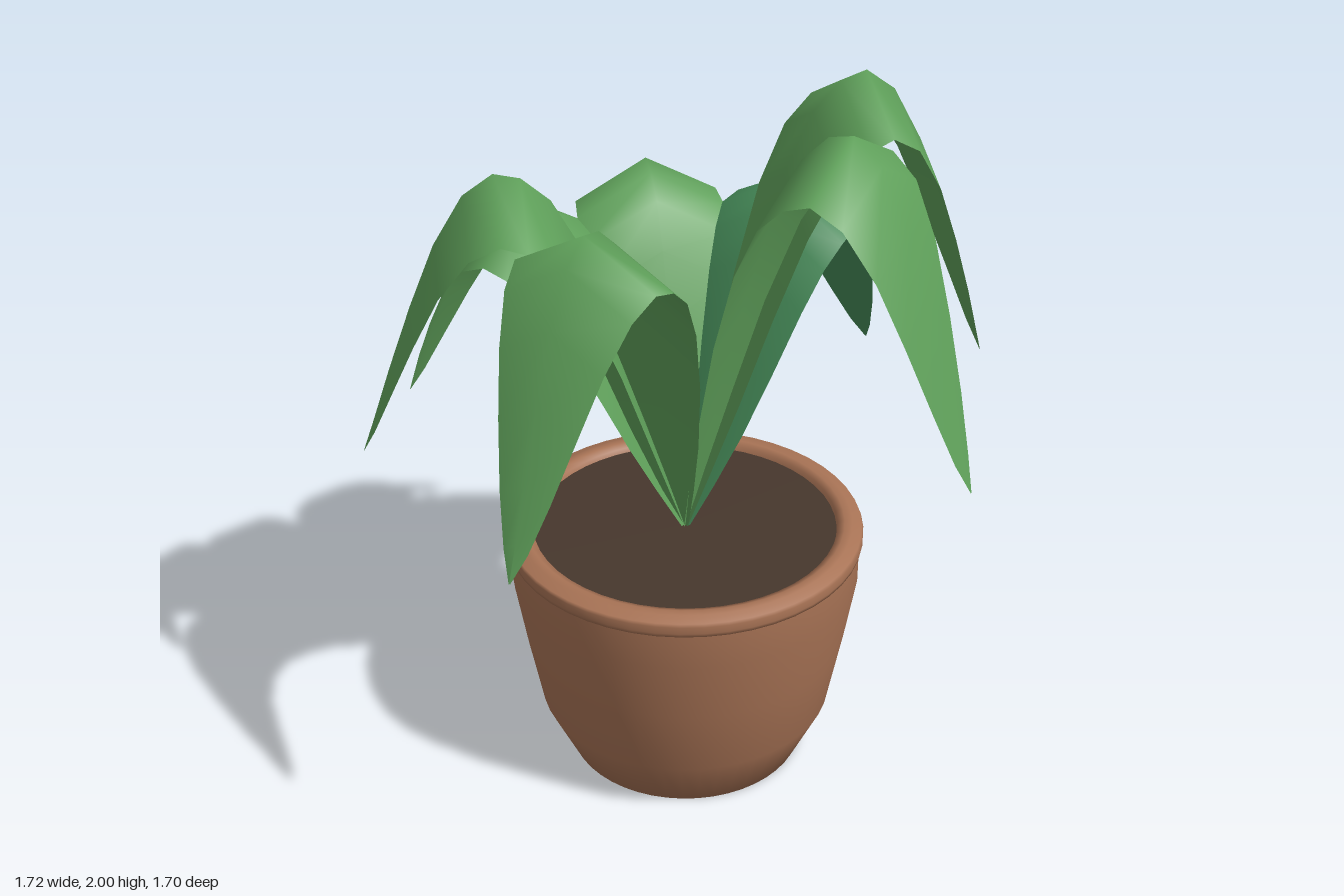
import * as THREE from 'three';

const material = (color, side = THREE.FrontSide) =>
  new THREE.MeshStandardMaterial({ color, side, roughness: 0.8 });

const BASE = 0.7;

// Leaf rows: distance from centre, height fraction, half width
const RISE = [
  [0, 0, 0.008], [0.055, 0.18, 0.058], [0.115, 0.37, 0.106], [0.19, 0.6, 0.153],
  [0.27, 0.8, 0.186], [0.345, 0.925, 0.203], [0.42, 0.985, 0.208], [0.49, 1, 0.2],
];
const FALL = [
  [0.57, 0.93, 0.18], [0.65, 0.76, 0.148], [0.72, 0.54, 0.112],
  [0.785, 0.31, 0.073], [0.835, 0.12, 0.035], [0.868, 0, 0.002],
];

// Arching leaf with a raised midrib and lowered edges
function leafGeometry(peak, tip) {
  const rows = [
    ...RISE.map(([r, f, w]) => [r, BASE + f * (peak - BASE), w]),
    ...FALL.map(([r, f, w]) => [r, tip + f * (peak - tip), w]),
  ];
  const positions = [];
  const index = [];
  rows.forEach(([r, y, w], i) => {
    const edge = y - w * 0.56;
    positions.push(r, edge, w, r, y, 0, r, edge, -w);
    if (i === rows.length - 1) return;
    for (let j = 0; j < 2; j++) {
      const a = i * 3 + j;
      index.push(a, a + 3, a + 1, a + 1, a + 3, a + 4);
    }
  });
  const geometry = new THREE.BufferGeometry();
  geometry.setAttribute('position', new THREE.Float32BufferAttribute(positions, 3));
  geometry.setIndex(index);
  geometry.computeVertexNormals();
  return geometry;
}

function lathe(name, points, mat) {
  const profile = points.map(([r, y]) => new THREE.Vector2(r, y));
  const mesh = new THREE.Mesh(new THREE.LatheGeometry(profile, 48), mat);
  mesh.name = name;
  return mesh;
}

export function createModel() {
  const model = new THREE.Group();
  model.name = 'pottedPlant';

  // Pot with a recessed drain hole in its underside
  const clay = material(0xa87355);
  model.add(lathe('pot', [
    [0, 0.07], [0.1, 0.065], [0.13, 0], [0.335, 0], [0.415, 0.17],
    [0.455, 0.38], [0.487, 0.57], [0.488, 0.68],
  ], clay));

  // Rim band with a stepped lip and inner wall
  model.add(lathe('rim', [
    [0.48, 0.677], [0.495, 0.679], [0.497, 0.69], [0.497, 0.71], [0.493, 0.719],
    [0.472, 0.721], [0.466, 0.729], [0.445, 0.73], [0.425, 0.722], [0.42, 0.69],
  ], clay));

  // Soil
  const soil = new THREE.Mesh(new THREE.CircleGeometry(0.425, 48), material(0x47372d));
  soil.name = 'soil';
  soil.rotation.x = -Math.PI / 2;
  soil.position.y = 0.708;
  model.add(soil);

  // Leaves: direction in degrees, peak height, tip height
  const green = material(0x5fa05a, THREE.DoubleSide);
  const deepGreen = material(0x458a58, THREE.DoubleSide);
  const leaves = [
    [84.8, 2, 1.12, green], [33, 2, 1.12, green], [-0.5, 1.61, 0.94, deepGreen],
    [-52, 1.61, 0.94, green], [-104.8, 1.61, 0.94, green],
    [-137.5, 1.81, 1.03, green], [170.5, 1.81, 1.03, green],
  ];
  for (const [angle, peak, tip, mat] of leaves) {
    const leaf = new THREE.Mesh(leafGeometry(peak, tip), mat);
    leaf.name = 'leaf';
    leaf.rotation.y = -THREE.MathUtils.degToRad(angle);
    model.add(leaf);
  }

  model.position.set(-0.008, 0, -0.012);
  const root = new THREE.Group();
  root.add(model);
  return root;
}
